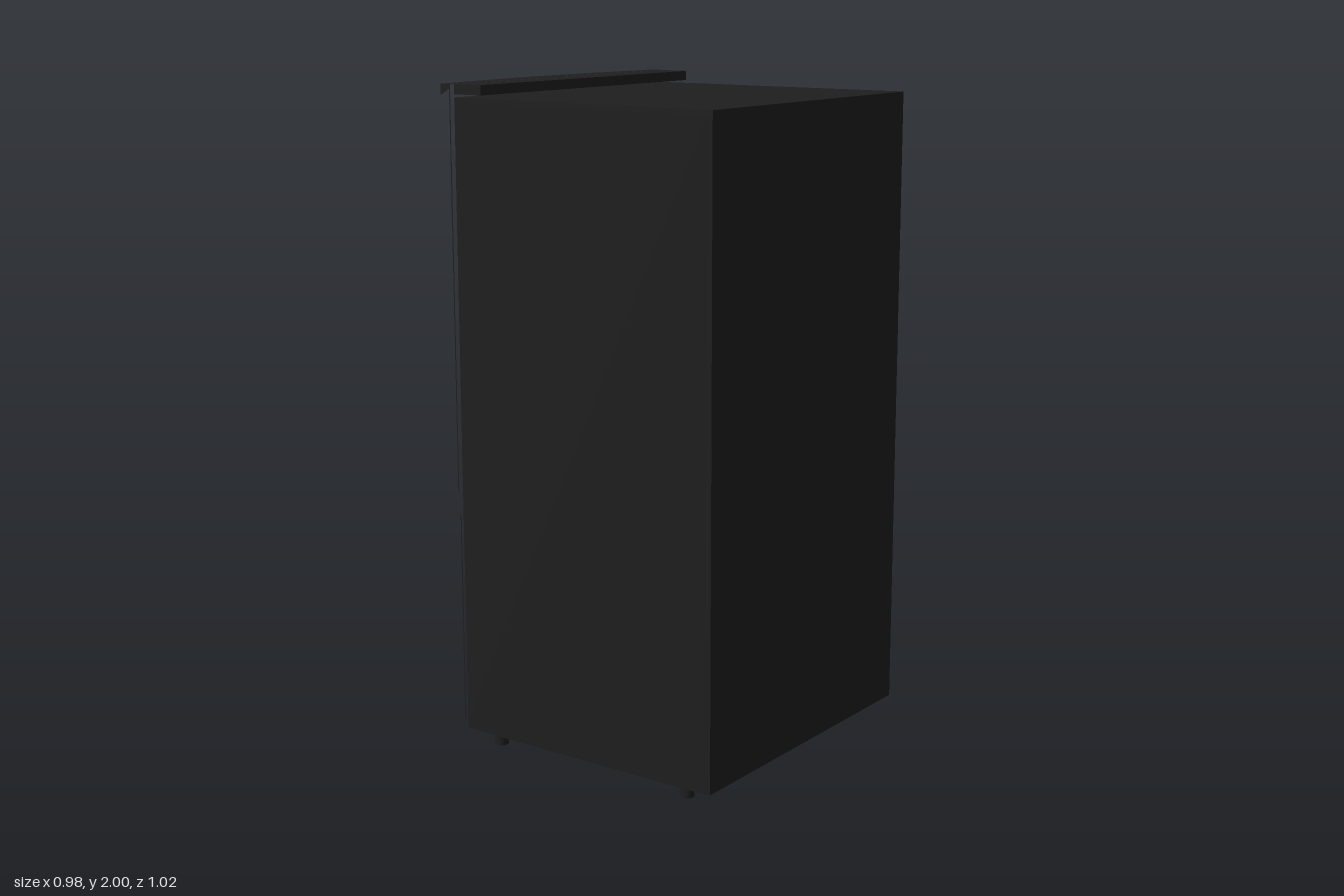
import * as THREE from 'three';

const dark = new THREE.MeshStandardMaterial({ color: 0x1e1e1e });
const thin = new THREE.MeshStandardMaterial({ color: 0x1e1e1e, side: THREE.DoubleSide });

const shapeOf = (points) => new THREE.Shape(points.map(([x, y]) => new THREE.Vector2(x, y)));

export function createModel() {
  const root = new THREE.Group();

  const add = (name, geometry, x, y, z, material = dark) => {
    const mesh = new THREE.Mesh(geometry, material);
    mesh.name = name;
    mesh.position.set(x, y, z);
    root.add(mesh);
  };
  // box given by its minimum and maximum corners
  const box = (name, x0, x1, y0, y1, z0, z1) =>
    add(name, new THREE.BoxGeometry(x1 - x0, y1 - y0, z1 - z0),
      (x0 + x1) / 2, (y0 + y1) / 2, (z0 + z1) / 2);
  // thin upright sheet across z
  const sheet = (name, x0, x1, y0, y1, z) =>
    add(name, new THREE.PlaneGeometry(x1 - x0, y1 - y0),
      (x0 + x1) / 2, (y0 + y1) / 2, z, thin);

  // Cabinet shell, open towards -x
  const X0 = -0.41, X1 = 0.487, Y0 = 0.06, Y1 = 1.962, T = 0.015;
  box('cabinetBack', X1 - T, X1, Y0, Y1, -0.5, 0.5);
  box('cabinetTop', X0, X1 - T, Y1 - T, Y1, -0.5, 0.5);
  box('cabinetFloor', X0, X1 - T, Y0, Y0 + T, -0.5, 0.5);
  for (const s of [-1, 1]) {
    const z = s * (0.5 - T / 2);
    box('cabinetSide', X0, X1 - T, Y0 + T, Y1 - T, z - T / 2, z + T / 2);
  }

  // Shelf between the compartments and upright partition above it
  box('compartmentDivider', X0, X1 - T, 0.74, 0.79, -0.485, 0.485);
  box('upperPartition', X0, X1 - T, 0.79, Y1 - T, -0.055, 0.055);

  // Hinge cover on top, plinth and feet below
  box('hingeCover', X0, -0.31, 1.971, 2, -0.5, 0.5);
  box('plinth', -0.37, 0.43, 0.03, 0.06, -0.44, 0.445);
  for (const x of [-0.342, 0.355]) {
    for (const z of [-0.417, 0.423]) {
      add('foot', new THREE.CylinderGeometry(0.02, 0.02, 0.03, 16), x, 0.015, z);
    }
  }

  // Open door frames: curved top sheet, end flap, meeting edge and outer trims
  for (const s of [-1, 1]) {
    const top = new THREE.ShapeGeometry(shapeOf([
      [-0.415, s * 0.007], [-0.488, s * 0.007], [-0.482, s * 0.2],
      [-0.471, s * 0.32], [-0.452, s * 0.51], [-0.415, s * 0.51],
    ]));
    top.rotateX(Math.PI / 2);
    add('doorTop', top, 0, 2, 0, thin);

    const flap = new THREE.ShapeGeometry(shapeOf([
      [-0.415, 2], [-0.452, 2], [-0.452, 1.968], [-0.415, 1.99],
    ]));
    add('doorTopFlap', flap, 0, 0, s * 0.51, thin);

    sheet('doorMeetingEdge', -0.488, -0.415, 0.803, 2, s * 0.007);
    sheet('doorTrim', -0.42, -0.416, 0.803, 2, s * 0.51);
    sheet('drawerTrim', -0.422, -0.418, 0.085, 0.73, s * 0.5);
  }
  return root;
}
